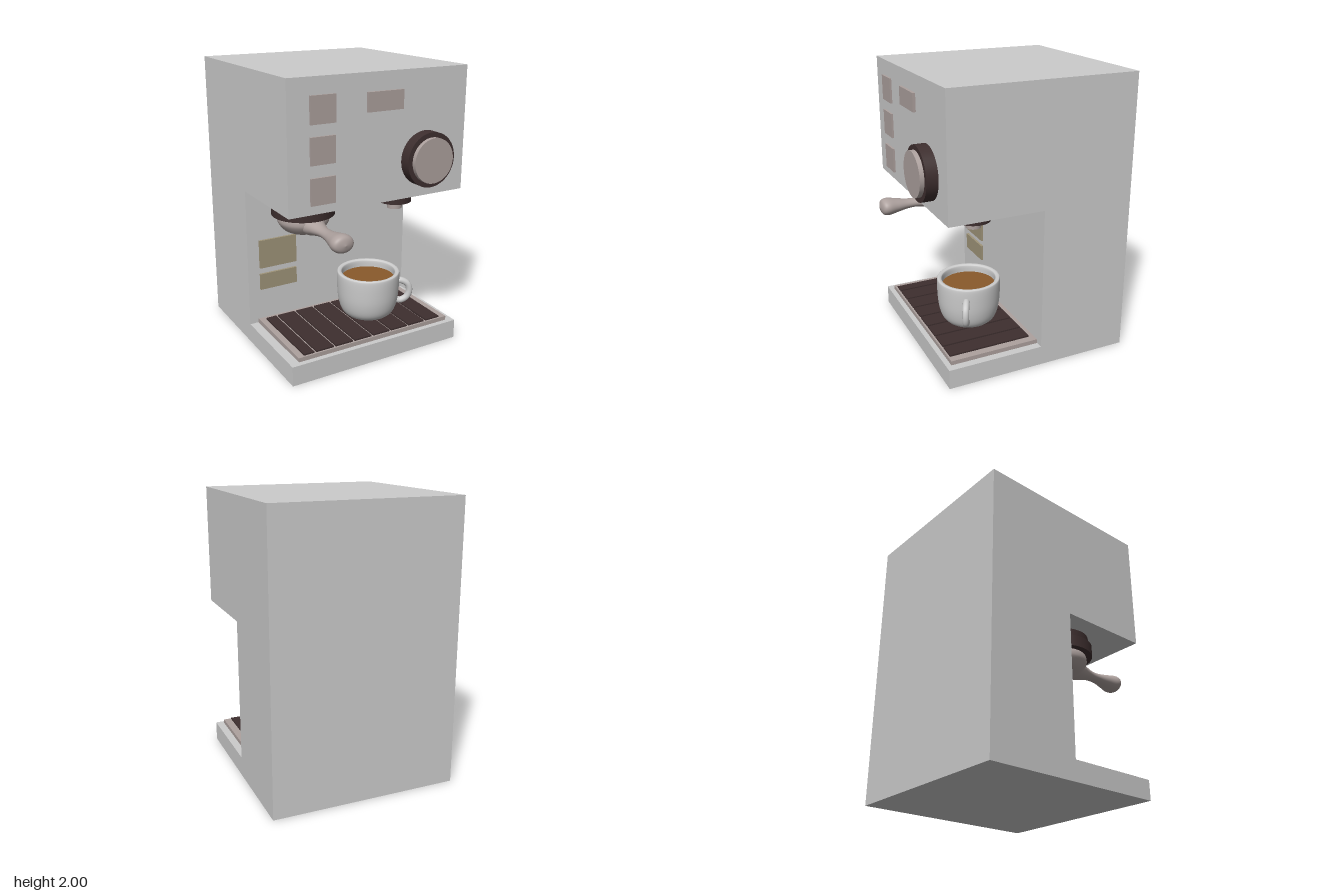
import * as THREE from 'three';

const mat = (color, side = THREE.FrontSide) => new THREE.MeshStandardMaterial({ color, side });
const grey = mat(0xcccccc);
const cupGrey = mat(0xcccccc, THREE.DoubleSide);
const dark = mat(0x3e2f2f);
const metal = mat(0xada19e, THREE.DoubleSide);
const olive = mat(0xa0957a);
const coffee = mat(0x8a5a2b);

export function createModel() {
  const model = new THREE.Group();
  model.name = 'espressoMachine';

  const add = (name, geometry, material, x = 0, y = 0, z = 0, parent = model) => {
    const mesh = new THREE.Mesh(geometry, material);
    mesh.name = name;
    mesh.position.set(x, y, z);
    parent.add(mesh);
    return mesh;
  };
  // box given by its limits on each axis
  const box = (name, material, x0, x1, y0, y1, z0, z1) =>
    add(name, new THREE.BoxGeometry(x1 - x0, y1 - y0, z1 - z0), material,
      (x0 + x1) / 2, (y0 + y1) / 2, (z0 + z1) / 2);
  // upright cylinder between two heights
  const drum = (name, material, r, x, z, y0, y1) =>
    add(name, new THREE.CylinderGeometry(r, r, y1 - y0, 48), material, x, (y0 + y1) / 2, z);
  // smooth lathe through a few [radius, height] points
  const lathe = (points, steps) => {
    const curve = new THREE.SplineCurve(points.map(([r, h]) => new THREE.Vector2(r, h)));
    const profile = curve.getPoints(steps);
    profile.forEach((p) => { p.x = Math.max(p.x, 0); });
    return new THREE.LatheGeometry(profile, 48);
  };

  // Housing: C-shaped side profile extruded across the width
  const side = new THREE.Shape([
    [-0.735, 0], [0.615, 0], [0.615, 0.14], [-0.07, 0.14],
    [-0.07, 1.15], [0.6, 1.15], [0.6, 2], [-0.735, 2],
  ].map(([z, y]) => new THREE.Vector2(z, y)));
  const housing = new THREE.ExtrudeGeometry(side, { depth: 1.33, bevelEnabled: false });
  housing.translate(0, 0, -0.665).rotateY(-Math.PI / 2);
  add('housing', housing, grey);

  // Buttons and display on the front panel
  for (const y of [1.715, 1.465, 1.21]) box('button', metal, -0.515, -0.34, y, y + 0.175, 0.59, 0.614);
  box('display', metal, -0.115, 0.15, 1.755, 1.88, 0.59, 0.62);

  // Dial
  const dial = (name, r, z0, z1, material) => {
    const g = new THREE.CylinderGeometry(r, r, z1 - z0, 48).rotateX(Math.PI / 2);
    add(name, g, material, 0.34, 1.41, (z0 + z1) / 2);
  };
  dial('dialRing', 0.185, 0.59, 0.68, dark);
  dial('dialFace', 0.152, 0.67, 0.71, metal);

  // Plates on the back wall of the recess
  box('upperPlate', olive, -0.578, -0.29, 0.565, 0.775, -0.08, -0.053);
  box('lowerPlate', olive, -0.578, -0.29, 0.4, 0.52, -0.08, -0.053);

  // Drip tray with slats running front to back
  box('dripTray', metal, -0.6, 0.61, 0.13, 0.17, -0.068, 0.578);
  const gaps = [-0.563];
  for (let i = 0; i < 7; i++) gaps.push(-0.47 + i * 0.15);
  gaps.push(0.563);
  for (let i = 0; i < gaps.length - 1; i++) {
    box('traySlat', dark, gaps[i] + 0.008, gaps[i + 1] - 0.008, 0.165, 0.181, -0.03, 0.565);
  }

  // Brew head
  drum('brewHeadTop', dark, 0.195, -0.338, 0.158, 1.085, 1.16);
  drum('brewHeadRing', dark, 0.219, -0.338, 0.158, 1.01, 1.09);

  // Filter holder: rounded bowl and a flared handle
  const holder = new THREE.Group();
  holder.name = 'filterHolder';
  holder.position.set(-0.338, 0, 0.158);
  model.add(holder);
  add('filterBowl', lathe([[0, 0.872], [0.07, 0.876], [0.135, 0.902], [0.174, 0.95], [0.18, 0.985], [0.172, 1.015]], 24),
    metal, 0, 0, 0, holder);
  const grip = lathe([[0, 0], [0.065, 0.02], [0.092, 0.08], [0.078, 0.16], [0.045, 0.26], [0.033, 0.34],
    [0.035, 0.41], [0.047, 0.46], [0.06, 0.5], [0.05, 0.54], [0, 0.577]].reverse().map(([r, h]) => [r, 0.577 - h]), 60);
  // reversed profile: broad root meets the bowl at height 0
  grip.dispose();
  const handle = lathe([[0.06, 0.06], [0.066, 0.14], [0.049, 0.21], [0.034, 0.29], [0.036, 0.37],
    [0.05, 0.45], [0.062, 0.52], [0.048, 0.56], [0, 0.577]], 50);
  handle.rotateX(Math.PI / 2).scale(1.28, 1, 1);
  add('filterHandle', handle, metal, 0, 0.959, 0, holder);

  // Water spout
  drum('spoutBase', dark, 0.119, 0.33, 0.285, 1.03, 1.16);
  drum('spoutNozzle', metal, 0.053, 0.33, 0.287, 0.978, 1.04);

  // Cup with coffee and a handle turned slightly to the front
  const cup = new THREE.Group();
  cup.name = 'cup';
  cup.position.set(0.142, 0.18, 0.246);
  cup.rotation.y = -0.48;
  model.add(cup);
  add('cupBody', lathe([[0, 0], [0.13, 0.001], [0.17, 0.015], [0.201, 0.06], [0.22, 0.14], [0.227, 0.24], [0.227, 0.32],
    [0.218, 0.335], [0.2, 0.333], [0.192, 0.318], [0.19, 0.25], [0.175, 0.13], [0.13, 0.06], [0, 0.05]], 70),
  cupGrey, 0, 0, 0, cup);
  add('coffee', new THREE.CircleGeometry(0.193, 48).rotateX(-Math.PI / 2), coffee, 0, 0.28, 0, cup);
  const loop = new THREE.CatmullRomCurve3([
    [0.2, 0.245], [0.24, 0.25], [0.29, 0.222], [0.305, 0.172], [0.288, 0.12], [0.24, 0.092], [0.2, 0.1],
  ].map(([x, y]) => new THREE.Vector3(x, y, 0)));
  add('cupHandle', new THREE.TubeGeometry(loop, 32, 0.024, 14), cupGrey, 0, 0, 0, cup);

  return model;
}
